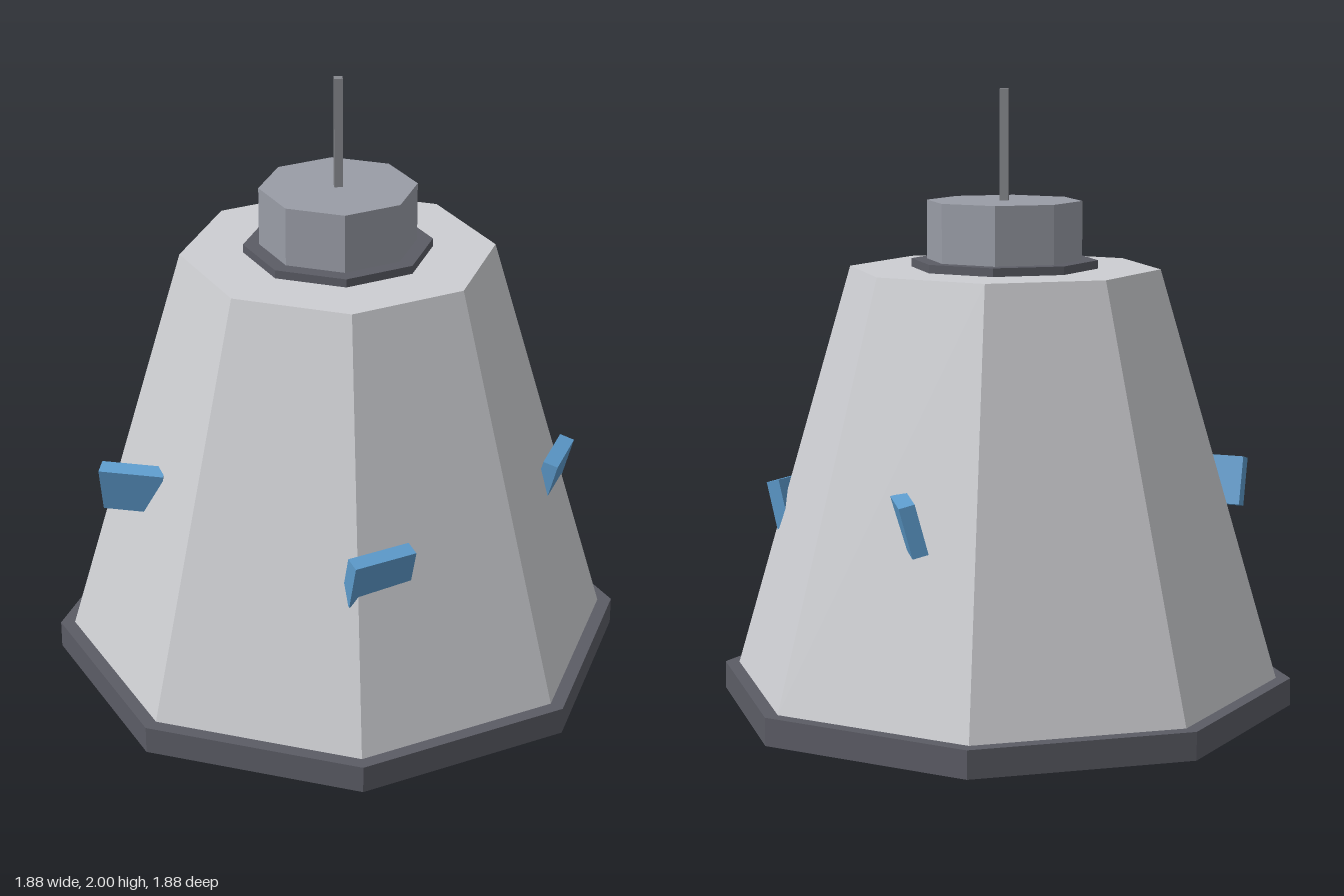
import * as THREE from 'three';

const mat = (name, color) => {
  const m = new THREE.MeshStandardMaterial({ color, flatShading: true });
  m.name = name;
  return m;
};

export function createModel() {
  const model = new THREE.Group();
  model.name = 'capsule';
  const lightGrey = mat('lightGrey', 0xcdced2);
  const darkGrey = mat('darkGrey', 0x5b5c65);
  const midGrey = mat('midGrey', 0x999ca6);
  const rodGrey = mat('rodGrey', 0x85878c);
  const blue = mat('blue', 0x5c9acb);

  // Stacked tapered prisms with a corner facing the front
  const prism = (name, material, rTop, rBottom, y0, y1, sides = 8) => {
    const mesh = new THREE.Mesh(new THREE.CylinderGeometry(rTop, rBottom, y1 - y0, sides), material);
    mesh.name = name;
    mesh.position.y = (y0 + y1) / 2;
    model.add(mesh);
  };
  prism('baseRim', darkGrey, 0.94, 0.94, 0, 0.09);
  prism('body', lightGrey, 0.505, 0.893, 0.09, 1.425);
  prism('collar', darkGrey, 0.303, 0.303, 1.425, 1.452);
  prism('hatch', midGrey, 0.252, 0.252, 1.452, 1.642);
  prism('antenna', rodGrey, 0.019, 0.019, 1.642, 2, 4);

  // Window blocks, pivoted on the middle of their outer top edge and leaning outwards
  const block = new THREE.BoxGeometry(0.212, 0.16, 0.05).translate(0, -0.08, -0.025);
  const windows = [
    ['frontWindow', 0.467, 0.705, 0.588, 21],
    ['rearWindow', 0.663, 0.778, -0.305, 61],
  ];
  for (const [name, x, y, z, yaw] of windows) {
    for (const side of [1, -1]) {
      const w = new THREE.Mesh(block, blue);
      w.name = name + (side > 0 ? 'Left' : 'Right');
      w.position.set(side * x, y, z);
      w.rotation.set(THREE.MathUtils.degToRad(15), side * THREE.MathUtils.degToRad(yaw), 0, 'YXZ');
      model.add(w);
    }
  }
  return model;
}
